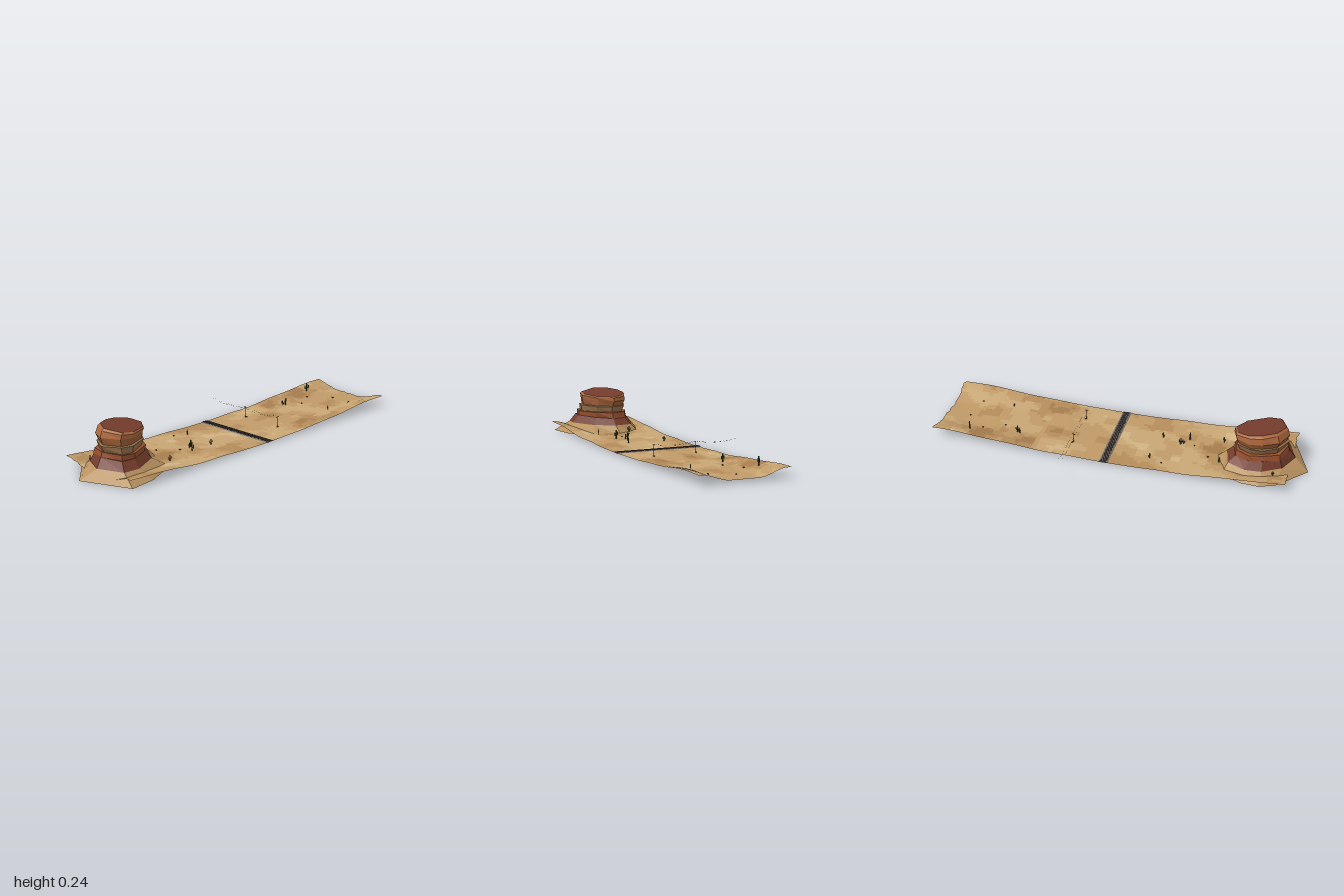
import * as THREE from 'three';
import { mergeGeometries } from 'three/addons/utils/BufferGeometryUtils.js';

const mat = (color, double = false) => new THREE.MeshStandardMaterial({
  color, flatShading: true, side: double ? THREE.DoubleSide : THREE.FrontSide });
const hash = (a, b) => { const s = Math.sin(a * 127.1 + b * 311.7) * 43758.5453; return s - Math.floor(s); };
const step = THREE.MathUtils.smoothstep;

function addMesh(parent, name, geometry, material) {
  const mesh = new THREE.Mesh(geometry, material);
  mesh.name = name;
  parent.add(mesh);
  return mesh;
}

function fromTriangles(points) {
  const g = new THREE.BufferGeometry();
  g.setAttribute('position', new THREE.Float32BufferAttribute(points.flat(), 3));
  g.computeVertexNormals();
  return g;
}

// Valley floor: flat by the railway, curling up along the sides at both ends
function groundHeight(x, z) {
  const u = Math.abs((x - 0.06) / 0.24), s = step(Math.abs(z), 0.3, 0.97);
  return 0.007 + 0.007 * step(Math.abs(z), 0.05, 0.35) + 0.038 * s * step(u, 0.3, 0.97)
    + 0.002 * Math.sin(z * 17 + x * 9) * step(Math.abs(z), 0.1, 0.3);
}

// Blocky sand patches sorted by tint
function buildGround(group) {
  const tints = [0xa67c4e, 0xb48c5a, 0xc09a68, 0xc8a674, 0xd0b384];
  const patches = tints.map(() => []);
  const spots = [[-0.02, -0.38], [-0.12, -0.49], [0.1, -0.78], [-0.14, -0.75], [0.27, -0.85], [0.08, 0.5], [0.25, -0.4]];
  const nx = 24, nz = 80;
  const vertex = (i, j) => {
    const x = -0.18 + 0.48 * i / nx;
    let z = -0.993 + 1.9 * j / nz;
    if (j === 0 || j === nz) z += (hash(i, j) - 0.5) * 0.014;
    return [x, groundHeight(x, z), z];
  };
  for (let i = 0; i < nx; i++) for (let j = 0; j < nz; j++) {
    const a = vertex(i, j), b = vertex(i, j + 1), c = vertex(i + 1, j + 1), d = vertex(i + 1, j);
    const bi = Math.floor((i + (Math.floor(j / 4) % 2)) / 3), bj = Math.floor((j + bi % 3) / 4);
    let tone = 1.9 + 1.8 * hash(bi, bj) + 0.8 * Math.sin(a[2] * 9 + a[0] * 13);
    for (const [sx, sz] of spots) tone -= 2.2 * Math.exp(-((a[0] - sx) ** 2 + (a[2] - sz) ** 2) / 0.004);
    patches[Math.max(0, Math.min(4, Math.floor(tone)))].push(a, b, c, a, c, d);
  }
  patches.forEach((p, k) => { if (p.length) addMesh(group, 'sandPatches' + k, fromTriangles(p), mat(tints[k], true)); });
}

// Outline of the rock, seen from above, as fractions of its half width and depth
const outline = [[-1, -0.33], [-0.73, -0.85], [-0.09, -1], [0.55, -0.63], [1, 0.2], [0.92, 0.68], [0.1, 1], [-0.6, 0.7], [-0.95, 0.15]];

// One ring of the rock; the height may tilt towards the front or the right
function ring(y, cx, cz, rx, rz, { front = 0, right = 0, rough = 0.07, seed = 0 } = {}) {
  return outline.map(([u, v], i) => {
    const r = 1 + (hash(i + 1, seed + 3) - 0.5) * 2 * rough;
    return [cx + u * rx * r, y + front * v + right * u + (hash(i, seed) - 0.5) * rough * 0.1, cz + v * rz * r];
  });
}

function band(lower, upper) {
  return lower.flatMap((a, i) => {
    const k = (i + 1) % lower.length;
    return [a, upper[i], upper[k], a, upper[k], lower[k]];
  });
}

function lid(points, up) {
  const n = points.length;
  const mid = [0, 1, 2].map(c => points.reduce((s, p) => s + p[c], 0) / n);
  return points.flatMap((p, i) => up ? [mid, points[(i + 1) % n], p] : [mid, p, points[(i + 1) % n]]);
}

function buildButte(group) {
  const foot = [[-0.155, 0.68], [-0.11, 0.57], [0.03, 0.505], [0.18, 0.55], [0.27, 0.74],
    [0.29, 0.89], [0.03, 0.998], [-0.13, 0.85], [-0.16, 0.77]].map(([x, z]) => [x, 0, z]);
  const skirt = ring(0.052, 0.055, 0.745, 0.163, 0.178, { rough: 0.02 });
  const skirtTop = ring(0.093, 0.052, 0.75, 0.128, 0.145, { front: 0.004, rough: 0.04, seed: 1 });
  const r = [
    ring(0.086, 0.052, 0.75, 0.134, 0.146, { rough: 0.05, seed: 2 }),
    ring(0.122, 0.052, 0.748, 0.122, 0.14, { seed: 4 }),
    ring(0.122, 0.052, 0.748, 0.108, 0.122, { rough: 0.05, seed: 5 }),
    ring(0.154, 0.05, 0.748, 0.12, 0.138, { rough: 0.05, seed: 6 }),
    ring(0.156, 0.048, 0.748, 0.108, 0.126, { rough: 0.04, seed: 7 }),
    ring(0.189, 0.045, 0.745, 0.117, 0.138, { front: 0.004, rough: 0.05, seed: 8 }),
    ring(0.216, 0.048, 0.74, 0.115, 0.136, { front: 0.012, right: -0.008, rough: 0.03, seed: 9 }),
    ring(0.224, 0.05, 0.735, 0.103, 0.128, { front: 0.016, right: -0.01, rough: 0.02, seed: 10 }),
  ];
  const add = (name, tris, color) => addMesh(group, name, fromTriangles(tris), mat(color, true));
  add('sandyFoot', [...band(foot, skirt), ...lid(foot, false)], 0xb8925f);
  add('scree', [...band(skirt, skirtTop), ...lid(skirtTop, true)], 0x743c2c);
  add('redStratum', [...band(r[0], r[1]), ...band(r[1], r[2])], 0x97502f);
  add('tanStratum', [...band(r[2], r[3]), ...band(r[3], r[4])], 0x94704a);
  add('brownStratum', band(r[4], r[5]), 0x9c5d36);
  add('orangeStratum', [...band(r[5], r[6]), ...band(r[6], r[7])], 0xb06a3e);
  add('summit', lid(r[7], true), 0x743c2c);
}

function buildRailway(group) {
  const y = 0.008, z = -0.045;
  const box = (w, h, d, x, py, pz) => new THREE.BoxGeometry(w, h, d).translate(x, py, pz);
  // Ballast bed with sloping shoulders
  const profile = new THREE.Shape([[-0.026, 0], [0.026, 0], [0.02, 0.004], [-0.02, 0.004]].map(p => new THREE.Vector2(...p)));
  const bed = new THREE.ExtrudeGeometry(profile, { depth: 0.48, bevelEnabled: false });
  bed.rotateY(Math.PI / 2).translate(-0.18, y - 0.002, z);
  addMesh(group, 'ballast', bed, mat(0x77706a));
  const sleepers = [];
  for (let i = 0; i < 60; i++) sleepers.push(box(0.0035, 0.0016, 0.032, -0.176 + i * 0.008, y + 0.0026, z));
  addMesh(group, 'sleepers', mergeGeometries(sleepers), mat(0x453a33));
  const rails = [-1, 1].map(s => box(0.48, 0.002, 0.0016, 0.06, y + 0.0042, z + s * 0.009));
  addMesh(group, 'rails', mergeGeometries(rails), mat(0x55565a));
}

function buildTelegraph(group) {
  const z = -0.24, top = 0.072, poles = [], wires = [];
  for (const x of [-0.06, 0.175]) {
    const base = groundHeight(x, z) - 0.002;
    poles.push(new THREE.CylinderGeometry(0.0011, 0.0014, top - base, 6).translate(x, (top + base) / 2, z));
    poles.push(new THREE.BoxGeometry(0.0016, 0.0018, 0.018).translate(x, top - 0.003, z));
    for (const dz of [-0.0075, 0.0075]) poles.push(new THREE.CylinderGeometry(0.0006, 0.0008, 0.003, 5).translate(x, top - 0.001, z + dz));
  }
  // Sagging spans, the outer one running on past the last pole
  for (const dz of [-0.0075, 0.0075]) for (const x0 of [-0.298, -0.06]) {
    const points = Array.from({ length: 9 }, (_, i) => {
      const t = i / 8;
      return new THREE.Vector3(x0 + t * 0.236, top - 0.048 * t * (1 - t), z + dz);
    });
    wires.push(new THREE.TubeGeometry(new THREE.CatmullRomCurve3(points), 16, 0.0003, 3));
  }
  addMesh(group, 'telegraphPoles', mergeGeometries(poles), mat(0x4a3626));
  addMesh(group, 'telegraphWires', mergeGeometries(wires), mat(0x2a2622));
}

// Saguaro with two bent arms
function cactusGeometry(h) {
  const r = h * 0.075;
  const parts = [new THREE.CapsuleGeometry(r, h - r, 2, 7).translate(0, h / 2 - r * 0.5, 0)];
  for (const [s, y, rise] of [[-1, 0.36, 0.3], [1, 0.48, 0.27]]) {
    const reach = s * h * 0.2, ar = r * 0.75;
    parts.push(new THREE.CylinderGeometry(ar, ar, h * 0.2, 6).rotateZ(Math.PI / 2).translate(reach / 2, h * y, 0));
    parts.push(new THREE.CapsuleGeometry(ar, h * rise, 2, 6).translate(reach, h * (y + rise / 2), 0));
  }
  return mergeGeometries(parts);
}

function buildPlants(group) {
  const cacti = [[-0.11, -0.81, 0.047], [-0.05, -0.56, 0.042], [-0.058, -0.545, 0.03], [0.175, -0.66, 0.022], [-0.08, 0.18, 0.03],
    [0.12, 0.205, 0.032], [0.08, 0.31, 0.04], [0.13, 0.35, 0.047], [0.085, 0.325, 0.028], [-0.03, 0.54, 0.036],
    [0.16, 0.53, 0.032], [-0.09, 0.83, 0.028]];
  cacti.forEach(([x, z, h], i) => {
    const g = cactusGeometry(h).rotateY(i * 1.3 + 0.6).translate(x, groundHeight(x, z) - 0.001, z);
    addMesh(group, 'cactus' + (i + 1), g, mat(0x2c4a30));
  });
  const shrubs = [[-0.06, -0.755], [0.04, -0.865], [0.175, -0.84], [-0.005, -0.645], [-0.06, -0.25], [0.175, -0.245],
    [-0.11, 0.25], [0.08, 0.385], [0, 0.475], [0.08, 0.555]];
  shrubs.forEach(([x, z], i) => {
    const g = new THREE.DodecahedronGeometry(0.005, 0).scale(1.1, 0.8, 0.9).rotateY(i);
    addMesh(group, 'stone' + (i + 1), g.translate(x, groundHeight(x, z) + 0.002, z), mat(0x5a4330));
  });
}

export function createModel() {
  const model = new THREE.Group();
  model.name = 'desertStrip';
  const parts = { ground: buildGround, butte: buildButte, railway: buildRailway, telegraphLine: buildTelegraph, plants: buildPlants };
  for (const [name, build] of Object.entries(parts)) {
    const group = new THREE.Group();
    group.name = name;
    build(group);
    model.add(group);
  }
  return model;
}
